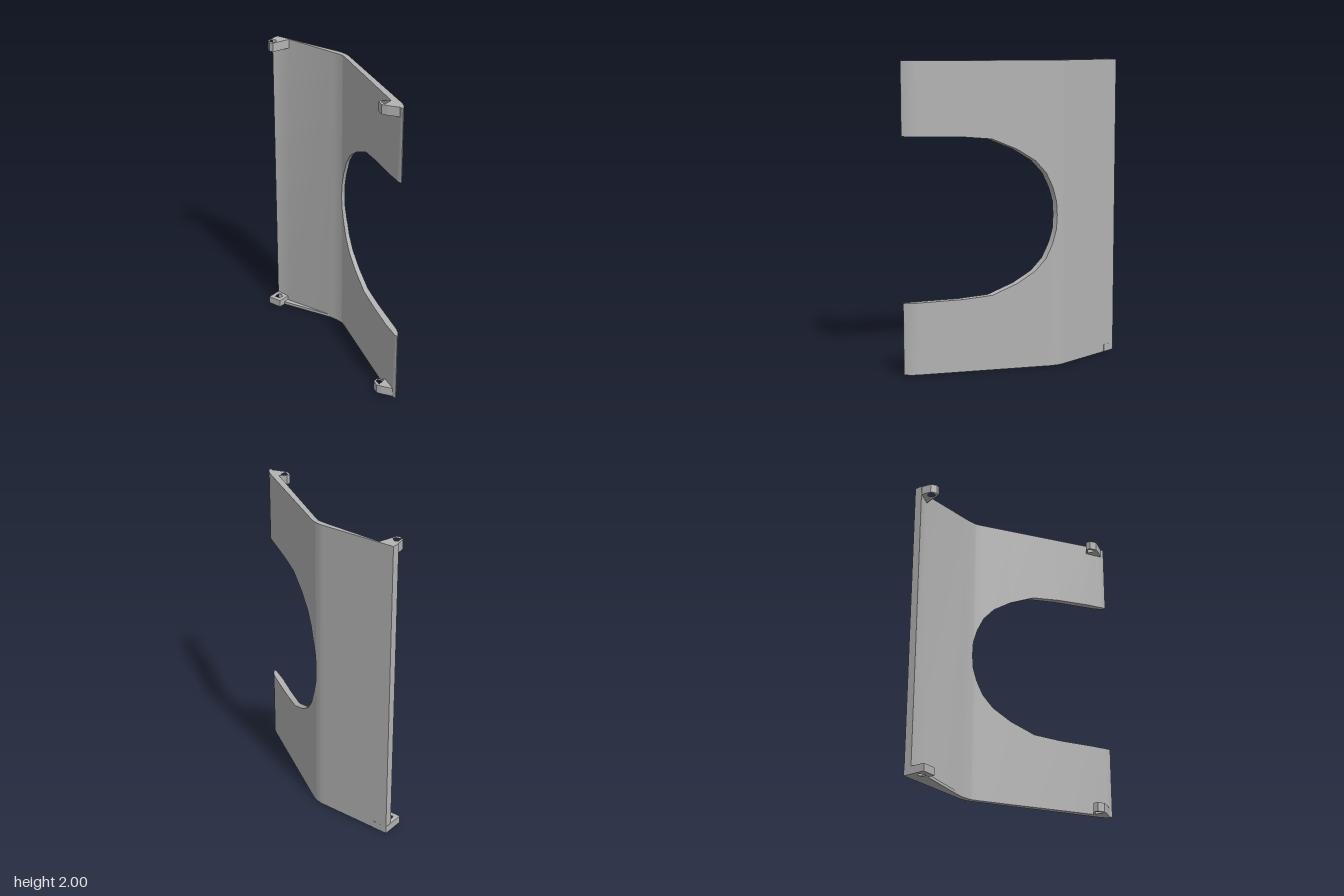
import * as THREE from 'three';
import { toCreasedNormals } from 'three/addons/utils/BufferGeometryUtils.js';

const grey = new THREE.MeshStandardMaterial({ color: 0xb3b3b3 });
grey.name = 'plain grey';

// Piecewise linear lookup in a list of [key, value] pairs
function lookup(pairs, k) {
  for (let i = 1; i < pairs.length; i++) {
    const [a, va] = pairs[i - 1], [b, vb] = pairs[i];
    if (k <= b) return va + (vb - va) * Math.max(0, (k - a) / (b - a));
  }
  return pairs[pairs.length - 1][1];
}

// Plan of the bent wall: [z, x]
const outer = [[-0.71, 0.303], [-0.17, 0.295], [-0.13, 0.286], [-0.09, 0.268], [0.63, -0.2],
  [0.665, -0.224], [0.69, -0.248], [0.71, -0.278]];
const innerTop = [[-0.71, 0.25], [-0.6, 0.292], [-0.2, 0.258], [-0.16, 0.254], [-0.12, 0.246],
  [-0.08, 0.222], [0.58, -0.22], [0.64, -0.254], [0.69, -0.284], [0.71, -0.286]];
const innerBottom = innerTop.map(([z, x]) => [z, z === -0.6 ? 0.24 : x]);
// Upper edge of the cutout: [z, y]
const cutout = [[-0.128, 1], [-0.123, 1.09], [-0.1, 1.18], [-0.06, 1.28], [0, 1.36], [0.1, 1.435],
  [0.24, 1.505], [0.4, 1.522], [0.6, 1.528], [0.71, 1.53]];

// Solid lofted through upright four-cornered sections along z
function loft(name, zs, low, high, capStart, capEnd) {
  const rings = zs.map(z => {
    const xo = lookup(outer, z), lo = low(z), hi = high(z);
    return [[xo, lo, z], [xo, hi, z], [lookup(innerTop, z), hi, z], [lookup(innerBottom, z), lo, z]];
  });
  const pos = [];
  const quad = (a, b, c, d) => pos.push(...a, ...b, ...c, ...a, ...c, ...d);
  for (let s = 1; s < rings.length; s++) {
    const a = rings[s - 1], b = rings[s];
    for (let i = 0; i < 4; i++) {
      const j = (i + 1) % 4;
      quad(b[i], a[i], a[j], b[j]);
    }
  }
  const f = rings[0], l = rings[rings.length - 1];
  if (capStart) quad(f[0], f[3], f[2], f[1]);
  if (capEnd) quad(l[0], l[1], l[2], l[3]);
  const g = new THREE.BufferGeometry();
  g.setAttribute('position', new THREE.Float32BufferAttribute(pos, 3));
  const mesh = new THREE.Mesh(toCreasedNormals(g, 0.5), grey);
  mesh.name = name;
  return mesh;
}

// Flat plate from a plan outline of [x, z] points, with an optional hole
function plate(name, points, y, height, hole) {
  const flip = pts => pts.map(([x, z]) => new THREE.Vector2(x, -z));
  const shape = new THREE.Shape(flip(points));
  if (hole) shape.holes.push(new THREE.Path(flip(hole)));
  const g = new THREE.ExtrudeGeometry(shape, { depth: height, bevelEnabled: false });
  g.rotateX(-Math.PI / 2);
  const mesh = new THREE.Mesh(g, grey);
  mesh.name = name;
  mesh.position.y = y;
  return mesh;
}

export function createModel() {
  const model = new THREE.Group();
  model.name = 'bentPanel';
  const cutY = z => lookup(cutout, z);

  // Full-height rear wall, then the two arms around the cutout
  const rear = [-0.71, -0.6, -0.2, -0.17, -0.15, -0.128];
  const arm = [-0.128, -0.123, -0.11, -0.1, -0.09, -0.08, -0.06, -0.03, 0, 0.1, 0.24, 0.4,
    0.58, 0.63, 0.645, 0.665, 0.69, 0.71];
  model.add(loft('rearWall', rear, () => 0, () => 2, true, false));
  model.add(loft('upperArm', arm, cutY, () => 2, false, true));
  model.add(loft('lowerArm', arm, () => 0, z => 2 - cutY(z), false, true));

  // Thin wedge along the foot of the rear wall
  model.add(plate('footWedge', [[0.262, -0.2], [0.25, -0.62], [0.198, -0.62]], 0, 0.02));

  // Pierced tabs on the rear edge
  const rearHole = [[0.18, -0.68], [0.215, -0.685], [0.23, -0.665], [0.21, -0.64], [0.185, -0.645]];
  model.add(plate('rearTopTab', [[0.16, -0.66], [0.185, -0.695], [0.28, -0.71], [0.302, -0.71],
    [0.3, -0.6], [0.2, -0.625], [0.165, -0.635]], 1.94, 0.06, rearHole));
  model.add(plate('rearBottomTab', [[0.15, -0.712], [0.303, -0.712], [0.303, -0.612], [0.15, -0.612]],
    0, 0.05, rearHole));

  // Pierced tabs on the front edge
  const frontTab = [[-0.308, 0.575], [-0.282, 0.535], [-0.25, 0.535], [-0.215, 0.59],
    [-0.275, 0.7], [-0.302, 0.61]];
  const frontHole = [[-0.292, 0.585], [-0.272, 0.547], [-0.257, 0.547], [-0.236, 0.582]];
  model.add(plate('frontTopTab', frontTab, 1.94, 0.06, frontHole));
  model.add(plate('frontBottomTab', frontTab, 0, 0.06, frontHole));
  return model;
}
